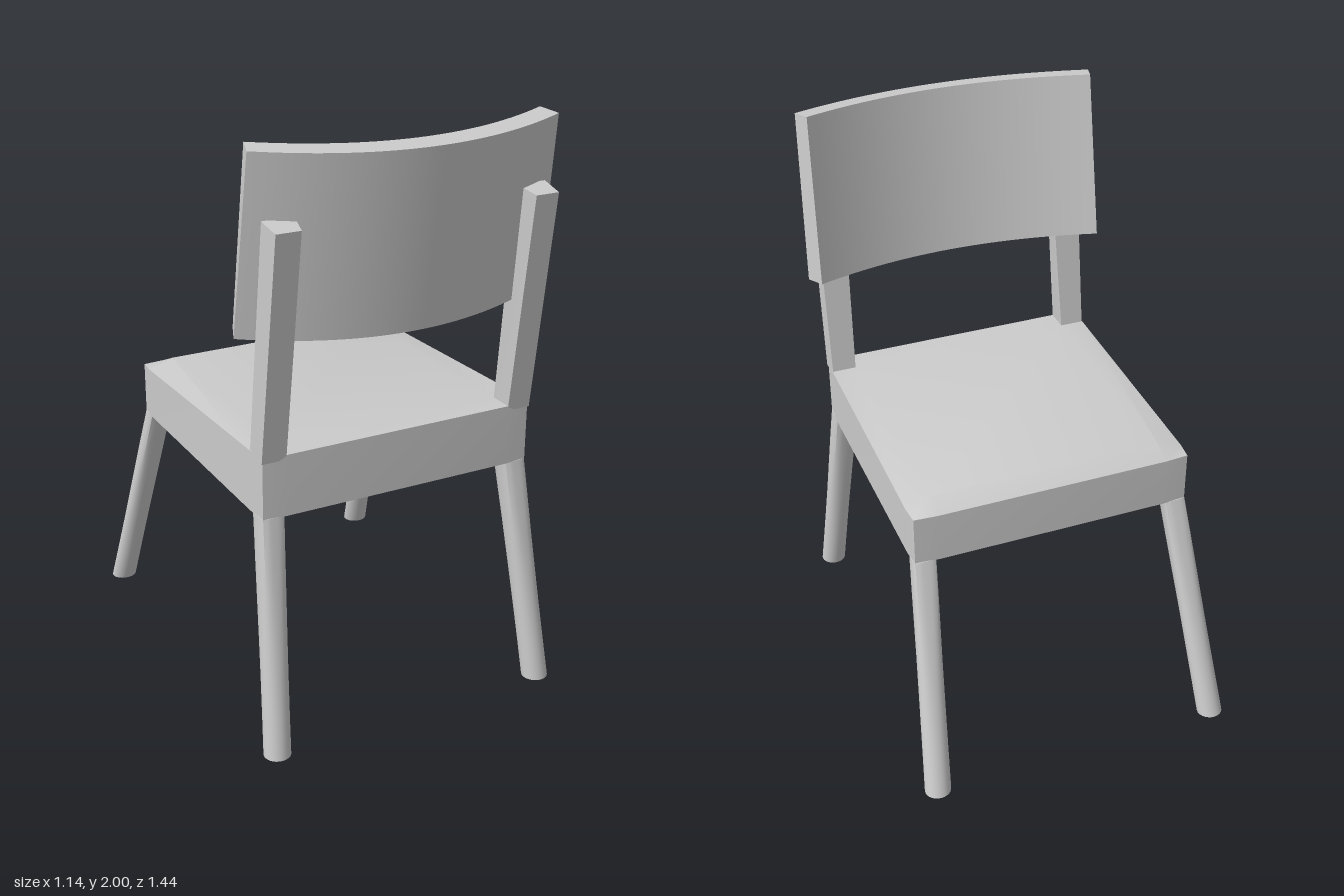
import * as THREE from 'three';
import { toCreasedNormals } from 'three/addons/utils/BufferGeometryUtils.js';

const material = new THREE.MeshStandardMaterial({ color: 0xcccccc });

function addMesh(group, name, geometry, crease = 0.6) {
  const mesh = new THREE.Mesh(toCreasedNormals(geometry, crease), material);
  mesh.name = name;
  group.add(mesh);
}

// Moves every vertex of a geometry by a rule (x, y, z) => [x, y, z]
function reshape(geometry, rule) {
  const p = geometry.attributes.position;
  for (let i = 0; i < p.count; i++) p.setXYZ(i, ...rule(p.getX(i), p.getY(i), p.getZ(i)));
  return geometry;
}

const mix = THREE.MathUtils.lerp;

// Seat slab: the top is flat inside and falls away to the sides and the free edge
function seatGeometry() {
  const xs = [-0.5, -0.41, 0.41, 0.5];
  const zs = [-0.43, -0.36, 0.48, 0.57];
  return reshape(new THREE.BoxGeometry(1, 1, 1, 3, 1, 3), (x, y, z) => {
    const i = Math.round((x + 0.5) * 3), k = Math.round((z + 0.5) * 3);
    const side = i === 0 || i === 3;
    const corner = side && (k === 0 || k === 3) ? 0.006 : 0;
    const top = k === 0 ? 0.98 : k === 1 && side ? 0.982 : 1.012;
    return [xs[i] - Math.sign(x) * corner, y > 0 ? top : 0.8, zs[k] - Math.sign(z) * corner];
  });
}

// Leg: rounded-square section under the seat, round at the floor
function legGeometry(side, top, foot) {
  return reshape(new THREE.CylinderGeometry(1, 1, 1, 24, 6), (x, y, z) => {
    const t = y + 0.5;
    const r = Math.hypot(x, z);
    const power = mix(2, 5, t * t * t);
    const norm = r < 1e-6 ? 1 : Math.pow(Math.abs(x / r) ** power + Math.abs(z / r) ** power, -1 / power);
    return [
      side * mix(foot.x, top.x, t) + x * norm * mix(foot.rx, top.rx, t),
      0.802 * t,
      mix(foot.z, top.z, t) + z * norm * mix(foot.rz, top.rz, t),
    ];
  });
}

// Back post: square bar leaning away from the seat, slightly twisted at the top
function postGeometry(side) {
  return reshape(new THREE.BoxGeometry(1, 1, 1), (x, y, z) => {
    const outer = x * side > 0, rear = z > 0;
    if (y < 0) return [side * (outer ? 0.498 : 0.413), 0.995, rear ? 0.568 : 0.482];
    return rear
      ? [side * (outer ? 0.492 : 0.408), 1.762, 0.672]
      : [side * (outer ? 0.497 : 0.39), 1.78, 0.587];
  });
}

// Curved backrest: each long edge bows from its end point to its middle point
function backrestGeometry() {
  const edges = {
    topInner: { x: 0.515, y: [2.0, 1.982], z: [0.515, 0.635] },
    topOuter: { x: 0.538, y: [1.99, 1.97], z: [0.585, 0.71] },
    lowInner: { x: 0.526, y: [1.41, 1.386], z: [0.435, 0.56] },
    lowOuter: { x: 0.555, y: [1.4, 1.374], z: [0.505, 0.635] },
  };
  return reshape(new THREE.BoxGeometry(2, 1, 1, 28, 1, 1), (x, y, z) => {
    const e = edges[(y > 0 ? 'top' : 'low') + (z > 0 ? 'Outer' : 'Inner')];
    const bow = 1 - x * x;
    return [x * e.x, mix(e.y[0], e.y[1], bow), mix(e.z[0], e.z[1], bow)];
  });
}

export function createModel() {
  const chair = new THREE.Group();
  chair.name = 'chair';

  addMesh(chair, 'seat', seatGeometry(), 0.5);
  addMesh(chair, 'backrest', backrestGeometry(), 0.4);

  // Legs and posts, mirrored left and right
  for (const [side, label] of [[1, 'left'], [-1, 'right']]) {
    addMesh(chair, label + 'BackrestLeg', legGeometry(side,
      { x: 0.456, z: 0.525, rx: 0.043, rz: 0.043 },
      { x: 0.508, z: 0.675, rx: 0.046, rz: 0.045 }));
    addMesh(chair, label + 'FreeEdgeLeg', legGeometry(side,
      { x: 0.458, z: -0.395, rx: 0.041, rz: 0.034 },
      { x: 0.525, z: -0.678, rx: 0.046, rz: 0.042 }));
    addMesh(chair, label + 'BackPost', postGeometry(side), 0.3);
  }
  return chair;
}
